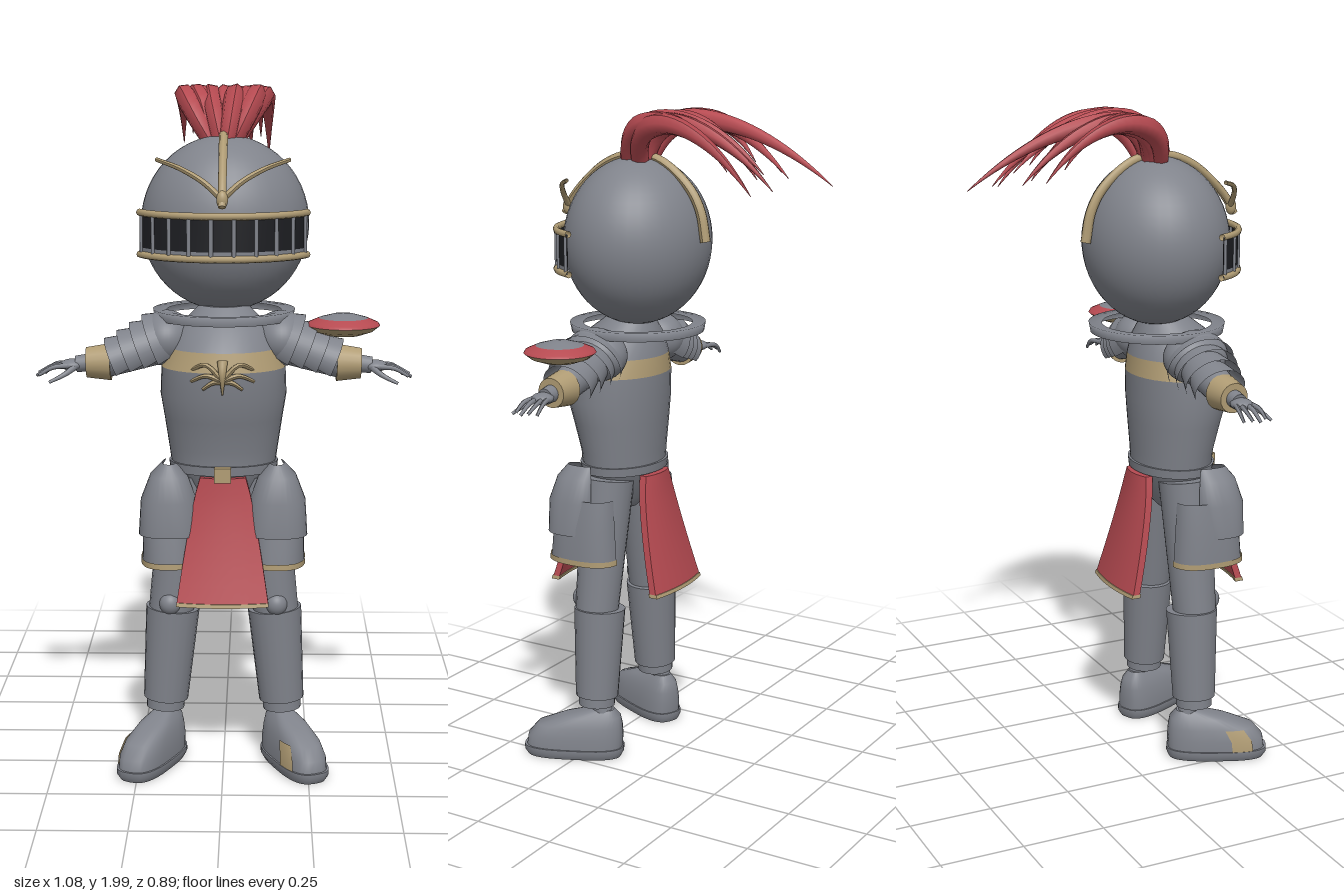
import * as THREE from 'three';

const mat = (name, color, side = THREE.FrontSide) => {
  const m = new THREE.MeshStandardMaterial({ color, side });
  m.name = name;
  return m;
};
const V = (x, y, z) => new THREE.Vector3(x, y, z);

// Surface through horizontal rings [y, halfWidth, zFront, zBack], listed upwards
function loft(rings, { t0 = 0, t1 = Math.PI * 2, n = 32, e = 1, cap = true } = {}) {
  const closed = t1 - t0 > 6.28, cols = closed ? n : n + 1, pos = [], idx = [];
  const ring = ([y, rx, zf, zb]) => {
    for (let j = 0; j < cols; j++) {
      const t = t0 + (t1 - t0) * j / n, c = Math.cos(t), s = Math.sin(t);
      pos.push(rx * Math.sign(c) * Math.abs(c) ** e, y, (zf + zb) / 2 + (zf - zb) / 2 * Math.sign(s) * Math.abs(s) ** e);
    }
  };
  rings.forEach(ring);
  for (let i = 0; i < rings.length - 1; i++) for (let j = 0; j < n; j++) {
    const k = closed ? (j + 1) % n : j + 1, a = i * cols + j, b = i * cols + k;
    idx.push(a, a + cols, b, b, a + cols, b + cols);
  }
  if (closed && cap) [rings[0], rings[rings.length - 1]].forEach((r, top) => {
    const start = pos.length / 3;
    ring(r);
    pos.push(0, r[0], (r[2] + r[3]) / 2);
    for (let j = 0; j < n; j++) {
      const a = start + j, b = start + (j + 1) % n;
      idx.push(start + n, top ? b : a, top ? a : b);
    }
  });
  const g = new THREE.BufferGeometry();
  g.setAttribute('position', new THREE.Float32BufferAttribute(pos, 3));
  g.setIndex(idx);
  g.computeVertexNormals();
  return g;
}

// Tapered cylinder between two points
function limb(a, b, ra, rb, sides = 20) {
  const d = b.clone().sub(a), g = new THREE.CylinderGeometry(rb, ra, d.length(), sides);
  g.applyQuaternion(new THREE.Quaternion().setFromUnitVectors(V(0, 1, 0), d.normalize()));
  return g.translate((a.x + b.x) / 2, (a.y + b.y) / 2, (a.z + b.z) / 2);
}

// Tube whose radius follows a rule
function strand(curve, segs, sides, radius) {
  const g = new THREE.TubeGeometry(curve, segs, 1, sides), p = g.attributes.position, v = V();
  for (let i = 0; i < p.count; i++) {
    const t = Math.floor(i / (sides + 1)) / segs, c = curve.getPointAt(t);
    v.fromBufferAttribute(p, i).sub(c).multiplyScalar(radius(t)).add(c);
    p.setXYZ(i, v.x, v.y, v.z);
  }
  g.computeVertexNormals();
  return g;
}
const path = pts => new THREE.CatmullRomCurve3(pts.map(p => V(...p)));
const ball = (x, y, z, rx, ry, rz) => new THREE.SphereGeometry(1, 40, 28).scale(rx, ry, rz).translate(x, y, z);

export function createModel() {
  const root = new THREE.Group();
  const steel = mat('steel', 0x80838b), plate = mat('steelPlate', 0x80838b, THREE.DoubleSide);
  const gold = mat('brass', 0xb09c74, THREE.DoubleSide), red = mat('red', 0xb64a51), dark = mat('visorBlack', 0x1d1e22, THREE.DoubleSide);
  const add = (name, geo, m, parent = root) => {
    const mesh = new THREE.Mesh(geo, m);
    mesh.name = name;
    parent.add(mesh);
    return mesh;
  };
  const mirrored = (name, build) => [1, -1].forEach(s => {
    const g = new THREE.Group();
    g.name = (s > 0 ? 'left' : 'right') + name;
    g.scale.x = s;
    build(g, s);
    root.add(g);
  });

  // Helmet and curved visor
  add('helmet', ball(0.003, 1.6, 0.16, 0.241, 0.25, 0.215), steel);
  const arc = { t0: 0.41, t1: Math.PI - 0.41, n: 28 };
  const vis = (y, r = 0) => [y, 0.255 + r, 0.4 + r, -0.07 - r];
  add('visorSlot', loft([vis(1.54), vis(1.635)], arc), dark);
  add('visorLowerPlate', loft([vis(1.518), vis(1.54)], arc), plate);
  const onVisor = (t, y) => [0.255 * Math.cos(t), y, 0.165 + 0.235 * Math.sin(t)];
  for (const y of [1.52, 1.638]) {
    const pts = Array.from({ length: 15 }, (_, i) => onVisor(0.38 + (Math.PI - 0.76) * i / 14, y));
    add('visorRim', new THREE.TubeGeometry(path(pts), 40, 0.01, 8), gold);
  }
  for (let i = 0; i < 10; i++) {
    const t = 0.45 + (Math.PI - 0.9) * i / 9;
    add('visorBar', limb(V(...onVisor(t, 1.525)), V(...onVisor(t, 1.635)), 0.006, 0.006, 8), steel);
  }

  // Brass ridge over the helmet with two side branches
  const ridge = path([[0, 1.665, 0.425], [0, 1.71, 0.40], [0, 1.765, 0.35], [0, 1.82, 0.28], [0, 1.85, 0.2],
    [0, 1.842, 0.09], [0, 1.77, -0.01], [0, 1.7, -0.052], [0, 1.61, -0.07]]);
  add('ridge', strand(ridge, 40, 8, t => 0.011 + 0.005 * t), gold);
  add('ridgeKnob', ball(0, 1.685, 0.413, 0.016, 0.025, 0.016), gold);
  mirrored('RidgeBranch', g => add('branch', strand(path([[0, 1.685, 0.41], [0.05, 1.73, 0.395],
    [0.115, 1.765, 0.355], [0.185, 1.787, 0.29]]), 16, 8, t => 0.009 - 0.003 * t), gold, g));

  // Plume strands: base x, base z, tip x, y, z
  [[-0.01, 0.17, -0.05, 1.79, -0.455], [-0.04, 0.15, -0.13, 1.81, -0.25], [-0.03, 0.14, -0.078, 1.8, -0.30],
    [0, 0.13, 0, 1.8, -0.24], [0.02, 0.17, 0.075, 1.78, -0.33], [0.035, 0.13, 0.13, 1.77, -0.29],
    [0.01, 0.19, 0.035, 1.82, -0.28], [-0.015, 0.13, -0.1, 1.84, -0.18], [0.03, 0.17, 0.105, 1.83, -0.2]
  ].forEach(([x, z, tx, ty, tz]) => {
    const c = new THREE.CubicBezierCurve3(V(x, 1.835, z), V(x + tx * 0.75, 1.99, z - 0.02), V(tx * 0.95, 2.025, tz * 0.3), V(tx, ty, tz));
    add('plumeStrand', strand(c, 24, 7, t => 0.001 + (t < 0.3 ? 0.024 + 0.03 * t : 0.033 * (1 - t) / 0.7)), red);
  });

  // Collar ring, breastplate and belt
  const collar = new THREE.LatheGeometry([[0.165, 1.352], [0.205, 1.355], [0.2, 1.328]].map(p => new THREE.Vector2(...p)), 40);
  add('collar', collar.translate(0, 0, 0.165), plate);
  const chest = [[0.91, 0.15, 0.335, 0.1], [0.96, 0.157, 0.338, 0.098], [1.05, 0.17, 0.362, 0.09], [1.12, 0.181, 0.382, 0.085],
    [1.2, 0.178, 0.388, 0.082], [1.255, 0.158, 0.375, 0.085], [1.31, 0.13, 0.34, 0.095], [1.37, 0.07, 0.26, 0.12]];
  add('breastplate', loft(chest.slice(0, 5)), steel);
  add('chestBand', loft(chest.slice(4, 6), { cap: false }), gold);
  add('neckPlate', loft(chest.slice(5)), steel);
  add('belt', loft([[0.895, 0.155, 0.34, 0.095], [0.922, 0.158, 0.343, 0.092]]), steel);
  add('pelvis', loft([[0.77, 0.04, 0.26, 0.18], [0.81, 0.1, 0.3, 0.14], [0.9, 0.145, 0.33, 0.105]]), steel);
  add('buckle', new THREE.BoxGeometry(0.048, 0.042, 0.03).translate(0, 0.902, 0.345), gold);

  // Winged chest ornament
  add('emblemStem', strand(path([[0, 1.235, 0.385], [0, 1.2, 0.4], [0, 1.14, 0.388]]), 10, 8, t => 0.013 * (1 - t) + 0.002), gold);
  mirrored('EmblemWing', g => [[0.09, 1.205, 0.357], [0.088, 1.175, 0.362], [0.055, 1.155, 0.38]].forEach(tip =>
    add('feather', strand(path([[0, 1.18, 0.394], [tip[0] * 0.5, tip[1] + 0.02, 0.392], tip]), 10, 6, t => 0.009 - 0.004 * t), gold, g)));

  // Front and back cloth with brass hems
  const cloth = (zAt, u0, u1, thick) => {
    const g = new THREE.BoxGeometry(1, 1, 1, 8, 8, 1), p = g.attributes.position;
    for (let i = 0; i < p.count; i++) {
      const u = u0 + (u1 - u0) * (0.5 - p.getY(i)), x = p.getX(i) * 2;
      p.setXYZ(i, x * (0.065 + 0.067 * u ** 0.8), 0.89 - 0.36 * u, zAt(u, x * x) + p.getZ(i) * thick);
    }
    g.computeVertexNormals();
    return g;
  };
  for (const [name, zAt] of [['front', (u, k) => 0.335 + 0.075 * u ** 1.4 - 0.015 * k], ['back', (u, k) => 0.095 - 0.075 * u ** 1.3 + 0.015 * k]]) {
    add(name + 'Cloth', cloth(zAt, 0, 0.97, 0.022), red);
    add(name + 'ClothHem', cloth(zAt, 0.97, 1, 0.028), gold);
  }

  // Legs with hip plates, knees and greaves
  mirrored('Leg', g => {
    add('thigh', limb(V(0.1, 0.88, 0.215), V(0.155, 0.46, 0.225), 0.082, 0.066), steel, g);
    const hip = (rings, t0, t1) => loft(rings, { t0, t1, n: 20, e: 0.8 }).translate(0.155, 0, 0);
    add('lowerHipPlate', hip([[0.64, 0.08, 0.37, 0.145], [0.74, 0.078, 0.36, 0.15], [0.83, 0.066, 0.345, 0.155]], -1.5, 2.3), plate, g);
    add('hipPlateHem', hip([[0.628, 0.083, 0.375, 0.142], [0.645, 0.083, 0.374, 0.143]], -1.5, 2.3), gold, g);
    add('upperHipPlate', hip([[0.72, 0.088, 0.372, 0.215], [0.82, 0.082, 0.37, 0.205], [0.89, 0.055, 0.348, 0.215], [0.925, 0.02, 0.32, 0.23]], -1.1, 2.9), plate, g);
    add('knee', ball(0.155, 0.5, 0.275, 0.032, 0.034, 0.032), steel, g);
    add('greave', limb(V(0.15, 0.475, 0.217), V(0.172, 0.195, 0.217), 0.079, 0.066), steel, g);
    add('ankle', limb(V(0.172, 0.2, 0.217), V(0.174, 0.165, 0.217), 0.056, 0.056), steel, g);
    add('ankleCore', limb(V(0.174, 0.17, 0.2), V(0.174, 0.12, 0.19), 0.03, 0.03), steel, g);
  });

  // Shoes turned outwards, each with a brass patch on the same side
  for (const s of [1, -1]) {
    const shoe = new THREE.Group();
    shoe.name = s > 0 ? 'leftShoe' : 'rightShoe';
    shoe.position.set(0.175 * s, 0, 0.2);
    shoe.rotation.y = 0.42 * s;
    const upper = [[0.03, 0.064, 0.235, -0.066], [0.065, 0.063, 0.23, -0.068], [0.1, 0.056, 0.2, -0.066], [0.13, 0.045, 0.12, -0.06], [0.153, 0.026, 0.03, -0.04]];
    add('shoeUpper', loft(upper, { e: 0.7 }), steel, shoe);
    add('sole', loft([[0, 0.06, 0.232, -0.062], [0.016, 0.069, 0.242, -0.07], [0.032, 0.069, 0.242, -0.07]], { e: 0.7 }), steel, shoe);
    const raised = upper.slice(0, 3).map(([y, w, f, b]) => [y, w + 0.004, f + 0.004, b - 0.004]);
    add('shoePatch', loft(raised, { t0: 2.45, t1: 2.95, n: 8, e: 0.7 }), gold, shoe);
    root.add(shoe);
  }

  // Arms with layered shoulder plates, cuffs and hands
  mirrored('Arm', g => {
    add('shoulder', ball(0.165, 1.275, 0.21, 0.08, 0.08, 0.1), steel, g);
    add('arm', limb(V(0.16, 1.265, 0.21), V(0.345, 1.203, 0.213), 0.06, 0.045), steel, g);
    const shells = new THREE.Group();
    shells.name = 'shoulderPlates';
    shells.position.set(0.15, 1.275, 0.21);
    shells.rotation.z = -(Math.PI / 2 + 0.38);
    for (let i = 0; i < 4; i++) {
      const shell = new THREE.CylinderGeometry(0.094 - 0.008 * i, 0.074 - 0.006 * i, 0.07, 24, 1, true, Math.PI * 1.5 - 2.1, 4.2);
      add('shoulderPlate', shell.scale(1, 1, 1.15).translate(0, 0.02 + 0.042 * i, 0), plate, shells);
    }
    g.add(shells);
    add('cuff', limb(V(0.325, 1.205, 0.213), V(0.395, 1.203, 0.213), 0.054, 0.044), gold, g);
    add('wrist', limb(V(0.385, 1.203, 0.213), V(0.425, 1.198, 0.213), 0.026, 0.024), steel, g);
    add('palm', ball(0.437, 1.196, 0.213, 0.035, 0.017, 0.032), steel, g);
    [[0.52, 0.176], [0.536, 0.196], [0.54, 0.219], [0.53, 0.241]].forEach(([x, z], i) =>
      add('finger', strand(path([[0.445, 1.196, 0.19 + 0.015 * i], [0.49, 1.192, z], [x, 1.165 + 0.005 * (i % 2), z]]), 8, 8, t => 0.0085 - 0.004 * t), steel, g));
    add('thumb', strand(path([[0.425, 1.195, 0.23], [0.455, 1.175, 0.262], [0.498, 1.155, 0.278]]), 8, 8, t => 0.0105 - 0.006 * t), steel, g);
  });

  // Round shoulder shield on the left: brass underside, red ring, steel centre
  const disc = new THREE.Group();
  disc.name = 'shoulderShield';
  disc.position.set(0.343, 1.31, 0.215);
  const lathe = pts => new THREE.LatheGeometry(pts.map(p => new THREE.Vector2(...p)), 40);
  add('shieldUnderside', lathe([[0, -0.028], [0.05, -0.024], [0.085, -0.012], [0.105, 0.004]]), gold, disc);
  add('shieldRing', lathe([[0.105, 0.004], [0.1, 0.012], [0.07, 0.025]]), red, disc);
  add('shieldCentre', lathe([[0.07, 0.025], [0.03, 0.036], [0, 0.039]]), steel, disc);
  root.add(disc);

  return root;
}
